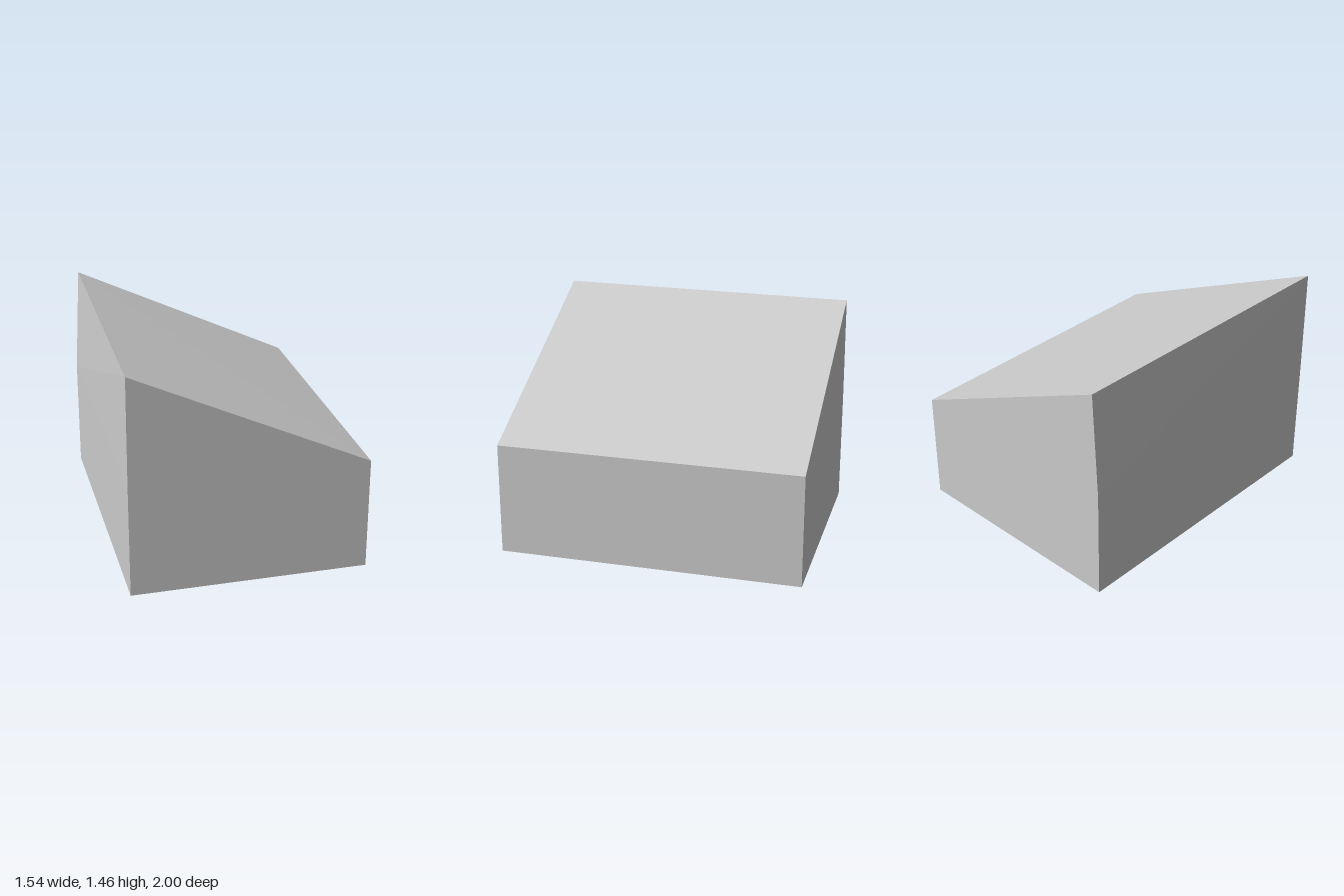
import * as THREE from 'three';

// Five-cornered end profile, counter-clockwise seen from the front.
const profile = (peakX) => [
  [-0.768, 0], [0.768, 0], [0.768, 0.745], [peakX, 1.46], [-0.768, 0.745],
];

// Joins a front and a back profile into a closed solid.
function loft(front, back, zFront, zBack) {
  const positions = [];
  const n = front.length;
  const f = front.map(([x, y]) => [x, y, zFront]);
  const b = back.map(([x, y]) => [x, y, zBack]);
  const tri = (...corners) => corners.forEach((c) => positions.push(...c));
  for (let i = 0; i < n; i++) {
    const j = (i + 1) % n;
    tri(f[i], b[i], b[j]);
    tri(f[i], b[j], f[j]);
  }
  for (let i = 1; i < n - 1; i++) {
    tri(f[0], f[i], f[i + 1]);
    tri(b[0], b[i + 1], b[i]);
  }
  const geometry = new THREE.BufferGeometry();
  geometry.setAttribute('position', new THREE.Float32BufferAttribute(positions, 3));
  geometry.computeVertexNormals();
  return geometry;
}

export function createModel() {
  const group = new THREE.Group();
  group.name = 'slopedBlock';

  // Block with a sloping top; the tall side leans inward toward the back.
  const material = new THREE.MeshStandardMaterial({ color: 0xcccccc, flatShading: true });
  const block = new THREE.Mesh(loft(profile(-0.764), profile(-0.728), 1, -1), material);
  block.name = 'wedgeBody';
  group.add(block);
  return group;
}
